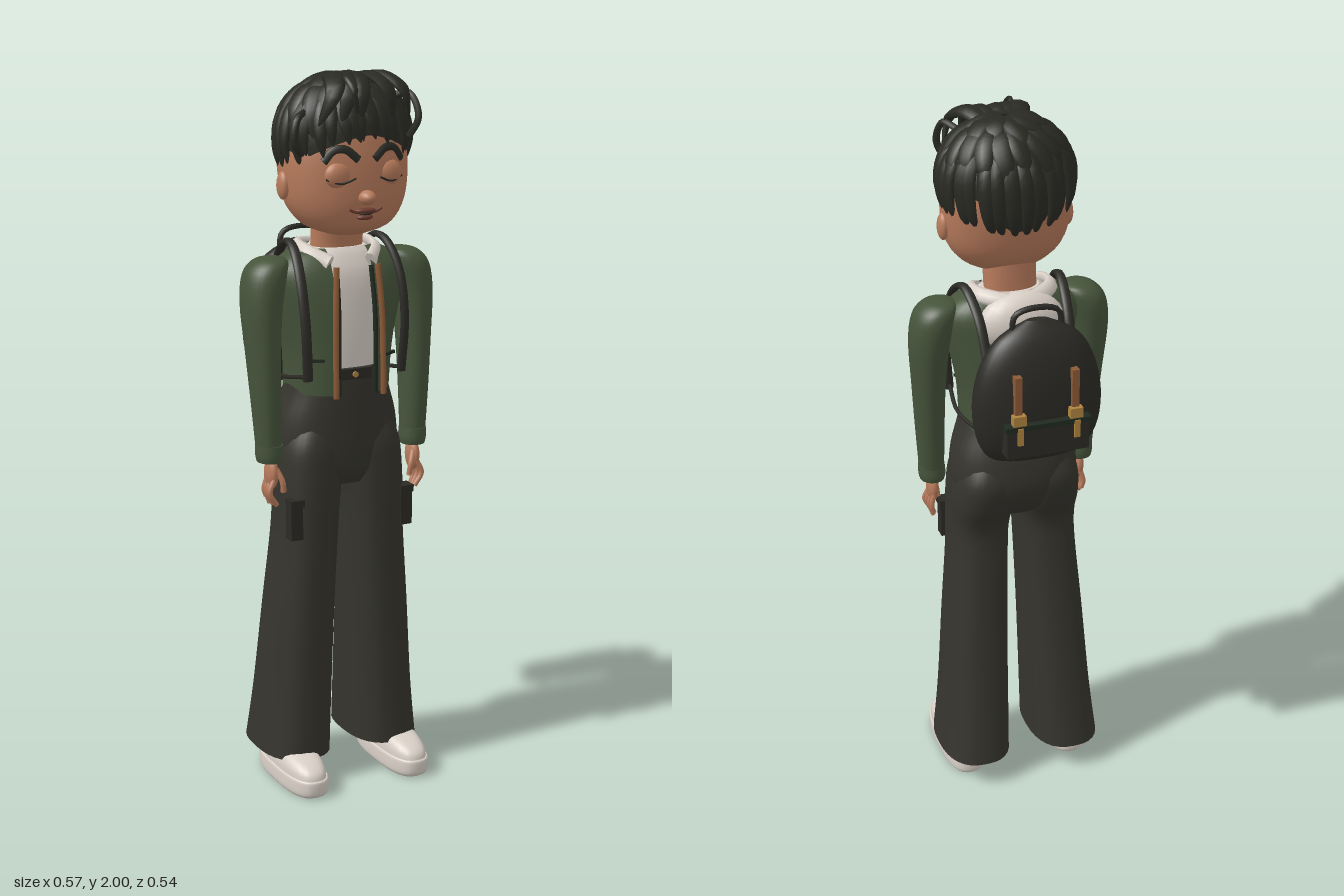
import * as THREE from 'three';

const mat = (name, color, side = THREE.FrontSide) => {
  const m = new THREE.MeshStandardMaterial({ color, side });
  m.name = name;
  return m;
};
const V = (x, y, z) => new THREE.Vector3(x, y, z);

// Skin a list of rings that run counter-clockwise about the direction of travel.
function loft(rings, { closed = true, caps = true } = {}) {
  const n = rings[0].length, pos = [], idx = [];
  rings.forEach(r => r.forEach(p => pos.push(p.x, p.y, p.z)));
  for (let i = 0; i < rings.length - 1; i++)
    for (let j = 0; j < (closed ? n : n - 1); j++) {
      const k = (j + 1) % n, a = i * n + j, b = i * n + k, c = b + n, d = a + n;
      idx.push(a, b, c, a, c, d);
    }
  if (caps) [rings[0], rings[rings.length - 1]].forEach((r, e) => {
    const base = pos.length / 3, mid = V(0, 0, 0);
    r.forEach(p => { pos.push(p.x, p.y, p.z); mid.addScaledVector(p, 1 / n); });
    pos.push(mid.x, mid.y, mid.z);
    for (let j = 0; j < n; j++) {
      const k = (j + 1) % n;
      idx.push(base + n, base + (e ? j : k), base + (e ? k : j));
    }
  });
  const g = new THREE.BufferGeometry();
  g.setAttribute('position', new THREE.Float32BufferAttribute(pos, 3));
  g.setIndex(idx);
  g.computeVertexNormals();
  return g;
}

// Catmull-Rom resampling of section rows [y, cx, rx, zBack, zFront].
function resample(rows, k = 4) {
  const out = [], last = rows.length - 1, at = i => rows[Math.min(last, Math.max(0, i))];
  for (let i = 0; i < last; i++)
    for (let s = 0; s < k; s++) {
      const t = s / k;
      out.push(rows[i].map((b, c) => {
        const a = at(i - 1)[c], d = at(i + 1)[c], e = at(i + 2)[c];
        return 0.5 * (2 * b + (d - a) * t + (2 * a - 5 * b + 4 * d - e) * t * t + (3 * b - a - 3 * d + e) * t ** 3);
      }));
    }
  return [...out, rows[last]];
}
const spow = (v, p) => Math.sign(v) * Math.abs(v) ** p;

// Upright body from superellipse sections; gap leaves the front open by that half width.
function body(rows, n = 2.3, gap = 0, seg = 32) {
  const rings = resample(rows).map(([y, cx, rx, z0, z1]) => {
    const a = gap ? Math.asin(Math.min(1, (gap / rx) ** (n / 2))) : 0;
    return Array.from({ length: gap ? seg + 1 : seg }, (_, j) => {
      const t = a + (2 * Math.PI - 2 * a) * j / seg;
      return V(cx + rx * spow(Math.sin(t), 2 / n), y, (z0 + z1) / 2 + (z1 - z0) / 2 * spow(Math.cos(t), 2 / n));
    });
  });
  return loft(rings, { closed: !gap, caps: !gap });
}

// Flattened band along a path, its flat side facing away from centre.
function band(points, width, thick, centre, taper = false, steps = 14) {
  const curve = new THREE.CatmullRomCurve3(points), rings = [];
  for (let i = 0; i <= steps; i++) {
    const u = i / steps, p = curve.getPoint(u), T = curve.getTangent(u);
    const N = p.clone().sub(centre).addScaledVector(T, -p.clone().sub(centre).dot(T)).normalize();
    const S = N.clone().cross(T), k = taper ? 0.06 + 0.94 * Math.sin(Math.PI * Math.min(1, 0.25 + u * 0.75)) ** 0.7 : 1;
    rings.push(Array.from({ length: 8 }, (_, j) => {
      const a = j * Math.PI / 4;
      return p.clone().addScaledVector(S, width * k * Math.cos(a)).addScaledVector(N, thick * k * Math.sin(a));
    }));
  }
  return loft(rings);
}
const tube = (pts, r) => new THREE.TubeGeometry(new THREE.CatmullRomCurve3(pts), 16, r, 6);

export function createModel() {
  const root = new THREE.Group();
  const hair = mat('hair black', 0x2a2a24, THREE.DoubleSide), cloth = mat('trouser charcoal', 0x35342d);
  const green = mat('jacket green', 0x46543b, THREE.DoubleSide), skin = mat('skin', 0xb87b5c);
  const white = mat('off white', 0xd9d0c7), pack = mat('pack charcoal', 0x2b2a25);
  const brown = mat('brown leather', 0x8c5a36), gold = mat('gold metal', 0xb0843f);
  const lips = mat('lip brown', 0x6e3d30), dark = mat('dark green', 0x202a20);
  const add = (name, geo, m, x = 0, y = 0, z = 0) => {
    const mesh = new THREE.Mesh(geo, m);
    mesh.name = name;
    mesh.position.set(x, y, z);
    root.add(mesh);
    return mesh;
  };
  const ball = (name, m, x, y, z, rx, ry, rz) => add(name, new THREE.SphereGeometry(1, 20, 14), m, x, y, z).scale.set(rx, ry, rz);
  const box = (name, m, x, y, z, w, h, d) => add(name, new THREE.BoxGeometry(w, h, d), m, x, y, z);

  // Head, neck and face
  const headRows = [[1.565, 0, 0.05, 0.05, 0.15], [1.59, 0, 0.115, 0.01, 0.2], [1.64, 0, 0.158, -0.03, 0.222],
    [1.71, 0, 0.175, -0.05, 0.228], [1.8, 0, 0.175, -0.06, 0.222], [1.88, 0, 0.145, -0.04, 0.2], [1.95, 0, 0.05, 0.04, 0.12]];
  add('head', body(headRows), skin);
  add('neck', body([[1.44, 0, 0.08, -0.01, 0.105], [1.52, 0, 0.073, -0.002, 0.1], [1.62, 0, 0.075, 0, 0.12]]), skin);
  const fine = resample(headRows, 12);
  const onFace = (x, y, off = 0) => {
    const [, , rx, z0, z1] = fine.reduce((a, b) => Math.abs(b[0] - y) < Math.abs(a[0] - y) ? b : a);
    return V(x, y, (z0 + z1) / 2 + (z1 - z0) / 2 * (1 - (Math.abs(x) / rx) ** 2.3) ** (1 / 2.3) + off);
  };
  ball('nose', skin, 0, 1.675, 0.228, 0.024, 0.02, 0.032);
  for (const s of [1, -1]) {
    const face = (pts, off) => pts.map(([x, y]) => onFace(s * x, y, off));
    ball('ear', skin, s * 0.176, 1.7, 0.085, 0.016, 0.038, 0.025);
    const lid = onFace(s * 0.073, 1.735, -0.012);
    ball('eyelid', skin, lid.x, lid.y, lid.z, 0.04, 0.036, 0.022);
    add('lashLine', tube(face([[0.035, 1.728], [0.073, 1.715], [0.112, 1.726]], 0.008), 0.003), pack);
    add('eyebrow', band(face([[0.024, 1.775], [0.06, 1.803], [0.09, 1.8], [0.115, 1.77]], 0.003), 0.011, 0.006, V(0, 1.75, 0.05)), hair);
    add('mouthCorner', tube(face([[0.008, 1.637], [0.028, 1.636], [0.048, 1.645]], 0.001), 0.004), lips);
  }
  ball('upperLip', lips, 0, 1.64, 0.222, 0.03, 0.008, 0.013);
  ball('mouthOpening', pack, 0, 1.632, 0.223, 0.02, 0.004, 0.012);
  ball('lowerLip', lips, 0, 1.622, 0.217, 0.024, 0.008, 0.014);

  // Hair: a cap with a hairline, covered by layered locks
  const hairCentre = V(0, 1.8, 0.085);
  const onHair = (phi, th, k = 1) => {
    const s = th > Math.PI / 2 ? Math.sin(th) ** 0.4 : Math.sin(th);
    return V(0.178 * k * s * Math.sin(phi), 1.82 + 0.155 * k * Math.cos(th), 0.085 + 0.155 * k * s * Math.cos(phi));
  };
  const hairline = phi => { const b = (1 - Math.cos(phi)) / 2; return 1.45 + 1.15 * b ** 0.75; };
  const capRings = [];
  for (let i = 12; i >= 0; i--)
    capRings.push(Array.from({ length: 40 }, (_, j) => {
      const phi = j * Math.PI / 20;
      return onHair(phi, hairline(phi) * Math.max(i / 12, 0.005));
    }));
  add('hairCap', loft(capRings, { caps: false }), hair);
  const layer = (name, count, from, to, w, lift, twist) => {
    for (let i = 0; i < count; i++) {
      const phi = (i + 0.5) * 2 * Math.PI / count, wob = Math.sin(i * 2.7);
      const end = to ? to + wob * 0.12 : hairline(phi) + 0.06 + wob * 0.07;
      const pts = [0, 0.33, 0.67, 1].map((u, k) =>
        onHair(phi + twist * (u - 1) + wob * 0.04, from + (end - from) * u, 1 + lift * [0.3, 1, 1, 0.5][k]));
      add(name, band(pts, w, 0.014, hairCentre, true), hair);
    }
  };
  layer('sideLock', 30, 0.6, 0, 0.023, 0.03, 0.15);
  layer('middleLock', 18, 0.3, 1.45, 0.03, 0.05, 0.35);
  layer('crownLock', 10, 0.06, 0.85, 0.034, 0.065, 0.6);
  for (const [a, b, c] of [[-0.02, -0.06, -0.13], [-0.01, -0.03, -0.075], [0.0, 0.0, -0.03], [0.02, 0.05, 0.08], [0.03, 0.08, 0.14]])
    add('fringeLock', band([V(a, 1.95, 0.06), V(b, 1.985, 0.15), V((b + c) / 2, 1.95, 0.225), V(c, 1.865, 0.238 - c * c * 2)],
      0.03, 0.014, hairCentre, true), hair);
  add('frontCurl', tube([V(-0.04, 1.96, 0.17), V(-0.06, 1.985, 0.22), V(-0.055, 1.955, 0.258), V(-0.04, 1.9, 0.25)], 0.008), hair);
  add('looseCurl', tube([V(0.1, 1.93, 0.17), V(0.13, 1.94, 0.22), V(0.14, 1.88, 0.25), V(0.12, 1.83, 0.235)], 0.01), hair);
  add('templeCurl', tube([V(-0.14, 1.9, 0.15), V(-0.18, 1.88, 0.18), V(-0.188, 1.82, 0.185), V(-0.165, 1.79, 0.18)], 0.01), hair);

  // Shirt, jacket and hood
  add('shirt', body([[1.16, 0, 0.125, -0.05, 0.145], [1.3, 0, 0.135, -0.05, 0.15], [1.44, 0, 0.14, -0.035, 0.145],
    [1.5, 0, 0.11, -0.02, 0.125], [1.525, 0, 0.08, -0.01, 0.108]]), white);
  add('jacket', body([[1.13, 0, 0.143, -0.085, 0.175], [1.25, 0, 0.15, -0.075, 0.178], [1.38, 0, 0.178, -0.062, 0.17],
    [1.46, 0, 0.19, -0.052, 0.152], [1.505, 0, 0.155, -0.035, 0.128], [1.525, 0, 0.1, -0.025, 0.11]], 2.5, 0.06), green);
  ball('hood', white, 0, 1.455, -0.045, 0.12, 0.085, 0.058);
  add('hoodCollar', band([V(0.062, 1.49, 0.135), V(0.105, 1.515, 0.08), V(0.1, 1.525, 0), V(0, 1.515, -0.055),
    V(-0.1, 1.525, 0), V(-0.105, 1.515, 0.08), V(-0.062, 1.49, 0.135)], 0.022, 0.014, V(0, 1.45, 0.04), false, 32), white);

  for (const s of [1, -1]) {
    // Jacket trim
    add('zip', band([V(s * 0.062, 1.485, 0.175), V(s * 0.07, 1.35, 0.187), V(s * 0.072, 1.13, 0.195)], 0.008, 0.008, V(0, 1.3, 0)), brown);
    add('jacketEdge', band([V(s * 0.052, 1.48, 0.155), V(s * 0.055, 1.35, 0.175), V(s * 0.056, 1.13, 0.178)], 0.007, 0.006, V(0, 1.3, 0)), dark);
    box('jacketPocket', dark, s * 0.112, 1.23, 0.15, 0.05, 0.008, 0.009).rotation.y = s * 0.55;

    // Sleeve with cuff
    add('sleeve', body([[0.95, s * 0.222, 0.034, 0.05, 0.122], [1.1, s * 0.227, 0.04, 0.033, 0.126], [1.25, s * 0.231, 0.046, 0.01, 0.127],
      [1.38, s * 0.23, 0.055, -0.012, 0.128], [1.46, s * 0.217, 0.058, -0.018, 0.125], [1.497, s * 0.2, 0.045, 0, 0.105],
      [1.508, s * 0.195, 0.012, 0.04, 0.065]], 2.1), green);
    add('cuff', body([[0.948, s * 0.222, 0.034, 0.048, 0.124], [0.965, s * 0.222, 0.038, 0.045, 0.127], [0.995, s * 0.223, 0.037, 0.046, 0.126]], 2.1), green);

    // Hand
    ball('palm', skin, s * 0.22, 0.915, 0.092, 0.017, 0.045, 0.031);
    for (let f = 0; f < 4; f++)
      add('finger', tube([V(s * 0.222, 0.9, 0.07 + f * 0.015), V(s * (0.23 + f * 0.002), 0.865, 0.067 + f * 0.017),
        V(s * (0.224 - f * 0.003), 0.828 + (f === 0 ? 0.015 : 0), 0.068 + f * 0.016)], 0.0075), skin);
    add('thumb', tube([V(s * 0.213, 0.93, 0.11), V(s * 0.2, 0.895, 0.122), V(s * 0.196, 0.865, 0.12)], 0.008), skin);

    // Flared trouser leg and thigh pocket
    add('trouserLeg', body([[0.08, s * 0.139, 0.102, -0.14, 0.17], [0.25, s * 0.128, 0.095, -0.115, 0.165], [0.5, s * 0.116, 0.089, -0.082, 0.163],
      [0.72, s * 0.103, 0.084, -0.056, 0.163], [0.82, s * 0.099, 0.086, -0.052, 0.164], [0.9, s * 0.094, 0.092, -0.085, 0.163],
      [0.98, s * 0.09, 0.088, -0.1, 0.16], [1.05, s * 0.08, 0.07, -0.07, 0.14]], 2.5), cloth);
    box('thighPocket', pack, s * 0.17, 0.78, 0.135, 0.035, 0.1, 0.036);
    box('thighPocketFlap', pack, s * 0.17, 0.835, 0.137, 0.04, 0.02, 0.042);

    // Shoe
    add('shoeSole', body([[0, s * 0.16, 0.055, -0.06, 0.25], [0.012, s * 0.16, 0.062, -0.067, 0.262], [0.045, s * 0.16, 0.062, -0.067, 0.264],
      [0.052, s * 0.16, 0.058, -0.064, 0.26]], 2.7), white);
    add('shoeUpper', body([[0.045, s * 0.16, 0.058, -0.063, 0.259], [0.07, s * 0.16, 0.057, -0.063, 0.25], [0.09, s * 0.159, 0.052, -0.06, 0.215],
      [0.105, s * 0.158, 0.045, -0.056, 0.15], [0.13, s * 0.157, 0.042, -0.05, 0.08]], 2.6), white);

    // Backpack strap, leather strap and buckle
    add('shoulderStrap', band([V(s * 0.142, 1.18, 0.165), V(s * 0.15, 1.33, 0.168), V(s * 0.15, 1.45, 0.138), V(s * 0.142, 1.525, 0.08),
      V(s * 0.135, 1.54, 0.02), V(s * 0.125, 1.48, -0.065), V(s * 0.12, 1.38, -0.115)], 0.014, 0.009, V(s * 0.12, 1.3, 0), false, 28), pack);
    add('lowerStrap', tube([V(s * 0.142, 1.19, 0.16), V(s * 0.158, 1.17, 0.04), V(s * 0.14, 1.17, -0.08), V(s * 0.12, 1.18, -0.13)], 0.006), pack);
    box('leatherStrap', brown, s * 0.08, 1.325, -0.243, 0.02, 0.13, 0.024);
    box('buckle', gold, s * 0.08, 1.265, -0.255, 0.036, 0.035, 0.022);
    box('strapEnd', gold, s * 0.08, 1.225, -0.268, 0.016, 0.05, 0.008);
  }

  // Trouser seat and waist
  add('trouserSeat', body([[0.87, 0, 0.1, -0.06, 0.14], [0.91, 0, 0.165, -0.085, 0.157], [0.97, 0, 0.182, -0.103, 0.162], [1.05, 0, 0.174, -0.095, 0.163],
    [1.13, 0, 0.148, -0.072, 0.163], [1.2, 0, 0.132, -0.055, 0.16]], 2.4), cloth);
  box('waistband', pack, 0, 1.185, 0.16, 0.1, 0.03, 0.009);
  add('button', new THREE.CylinderGeometry(0.008, 0.008, 0.008, 12), gold, 0, 1.185, 0.167).rotation.x = Math.PI / 2;

  // Backpack
  add('backpack', body([[1.106, 0, 0.08, -0.185, -0.15], [1.13, 0, 0.14, -0.218, -0.122], [1.2, 0, 0.174, -0.243, -0.1], [1.3, 0, 0.18, -0.25, -0.09],
    [1.4, 0, 0.156, -0.24, -0.1], [1.47, 0, 0.108, -0.215, -0.125], [1.512, 0, 0.03, -0.178, -0.155]], 2.1), pack);
  box('packPocket', pack, 0, 1.205, -0.24, 0.23, 0.09, 0.05);
  box('packPocketFlap', dark, 0, 1.247, -0.254, 0.24, 0.014, 0.03);
  add('packHandle', tube([V(-0.07, 1.48, -0.168), V(-0.06, 1.53, -0.168), V(0, 1.545, -0.168), V(0.06, 1.53, -0.168), V(0.07, 1.48, -0.168)], 0.008), pack);
  return root;
}
